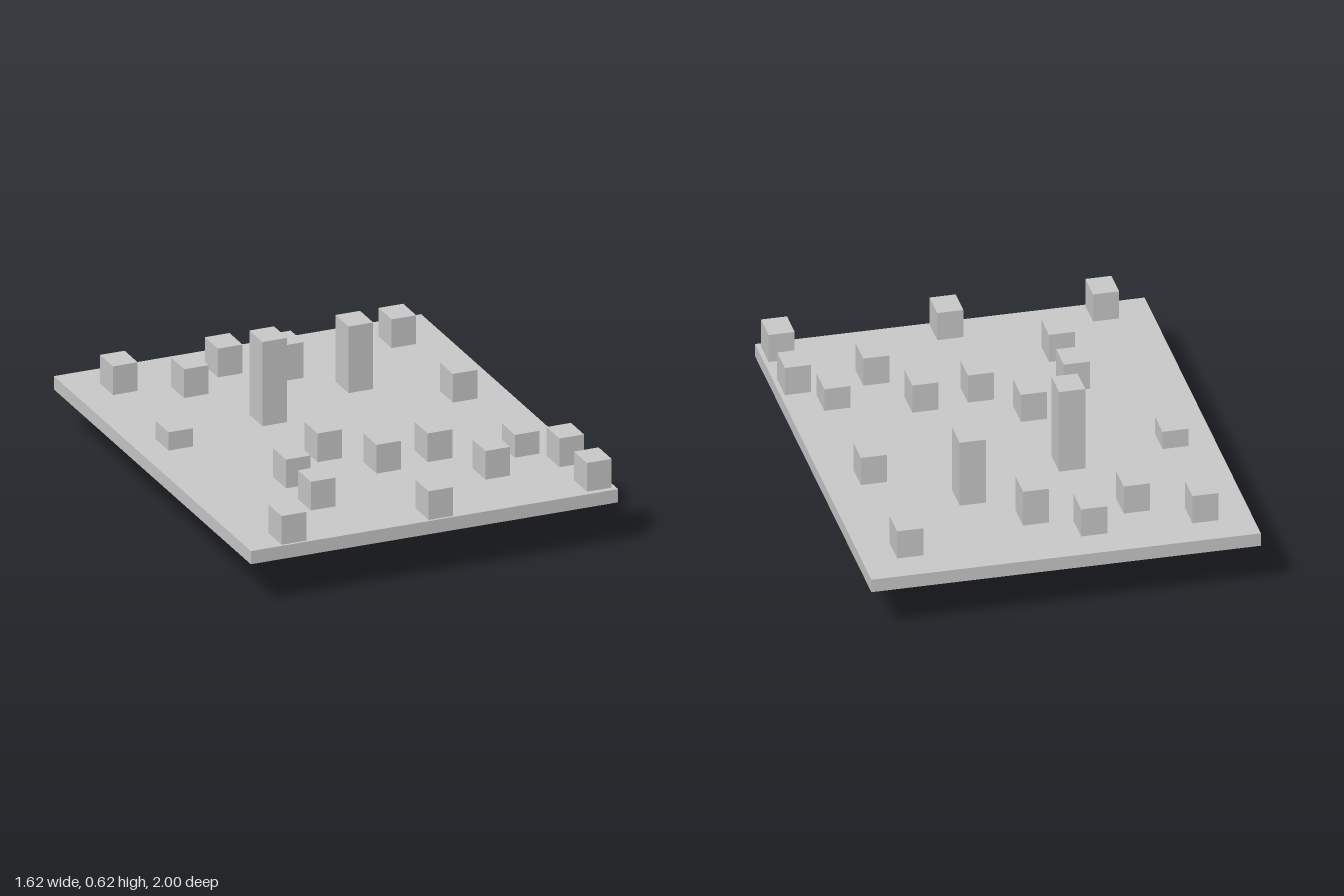
import * as THREE from 'three';

const PLATE = { width: 1.625, depth: 2, bottom: 0.197, top: 0.255 };
const BLOCK = { width: 0.109, depth: 0.132, top: 0.381 };

export function createModel() {
  const model = new THREE.Group();
  const material = new THREE.MeshStandardMaterial({ color: 0xcccccc, flatShading: true });

  const addBox = (name, width, depth, x, z, bottom, top) => {
    const mesh = new THREE.Mesh(new THREE.BoxGeometry(width, top - bottom, depth), material);
    mesh.position.set(x, (bottom + top) / 2, z);
    mesh.name = name;
    model.add(mesh);
  };
  const addBlock = (name, x, z, top = BLOCK.top, bottom = PLATE.top - 0.02) =>
    addBox(name, BLOCK.width, BLOCK.depth, x, z, bottom, top);

  // Flat base plate
  addBox('basePlate', PLATE.width, PLATE.depth, 0, 0, PLATE.bottom, PLATE.top);

  // Short blocks standing on the plate: x, z and, where it differs, top height
  const blocks = [
    [-0.617, -0.788], [-0.153, -0.788], [0.615, -0.788],
    [-0.365, -0.645], [0.055, -0.645, 0.412],
    [-0.643, -0.165, 0.335], [0.615, -0.165],
    [-0.138, 0.188], [-0.365, 0.388], [0.033, 0.393], [0.272, 0.366],
    [0.615, 0.465, 0.355],
    [-0.365, 0.641], [0.413, 0.628], [0.74, 0.628],
    [-0.617, 0.923], [0.033, 0.923], [0.74, 0.908],
  ];
  blocks.forEach(([x, z, top], i) => addBlock(`block${i + 1}`, x, z, top));

  // Two tall posts passing through the plate
  addBlock('tallPost', -0.192, -0.247, 0.625, 0);
  addBlock('shortPost', 0.266, -0.425, 0.548, 0.08);

  return model;
}
